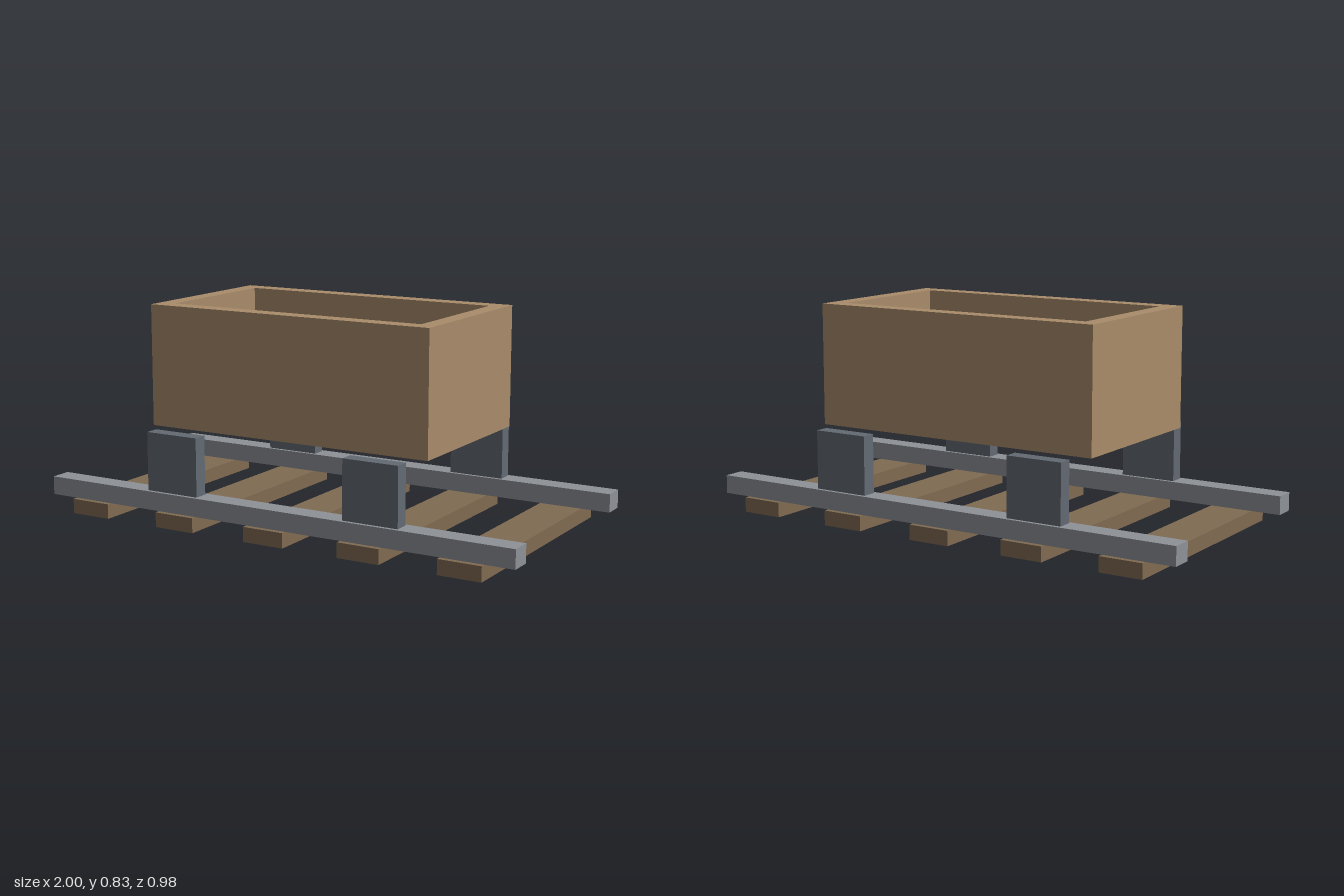
import * as THREE from 'three';

const material = (name, color) => {
  const m = new THREE.MeshStandardMaterial({ color });
  m.name = name;
  return m;
};

export function createModel() {
  const model = new THREE.Group();
  model.name = 'railCart';
  const tubWood = material('light wood', 0xa98c6a);
  const sleeperWood = material('dark wood', 0x806b52);
  const railSteel = material('rail steel', 0x8e9297);
  const wheelSteel = material('wheel steel', 0x636a73);

  const addBox = (name, mat, w, h, d, x, y, z) => {
    const mesh = new THREE.Mesh(new THREE.BoxGeometry(w, h, d), mat);
    mesh.name = name;
    mesh.position.set(x, y, z);
    model.add(mesh);
  };

  // Sleepers under the track
  for (let i = -2; i <= 2; i++) {
    addBox('sleeper', sleeperWood, 0.17, 0.058, 0.984, i * 0.4, 0.029, 0);
  }

  // Rails with two block wheels on each
  for (const side of [1, -1]) {
    addBox('rail', railSteel, 2, 0.072, 0.085, 0, 0.094, side * 0.429);
    for (const end of [1, -1]) {
      addBox('wheel', wheelSteel, 0.225, 0.228, 0.057, end * 0.43, 0.244, side * 0.429);
    }
  }

  // Tub walls: a rectangular frame extruded upwards
  const rectangle = (path, x, z) =>
    path.moveTo(-x, -z).lineTo(x, -z).lineTo(x, z).lineTo(-x, z).closePath();
  const outline = rectangle(new THREE.Shape(), 0.598, 0.342);
  outline.holes.push(rectangle(new THREE.Path(), 0.532, 0.276));
  const wallGeometry = new THREE.ExtrudeGeometry(outline, { depth: 0.472, bevelEnabled: false });
  wallGeometry.rotateX(-Math.PI / 2);
  const walls = new THREE.Mesh(wallGeometry, tubWood);
  walls.name = 'tubWalls';
  walls.position.y = 0.358;
  model.add(walls);

  // Tub floor
  addBox('tubFloor', tubWood, 1.064, 0.066, 0.552, 0, 0.391, 0);

  return model;
}
